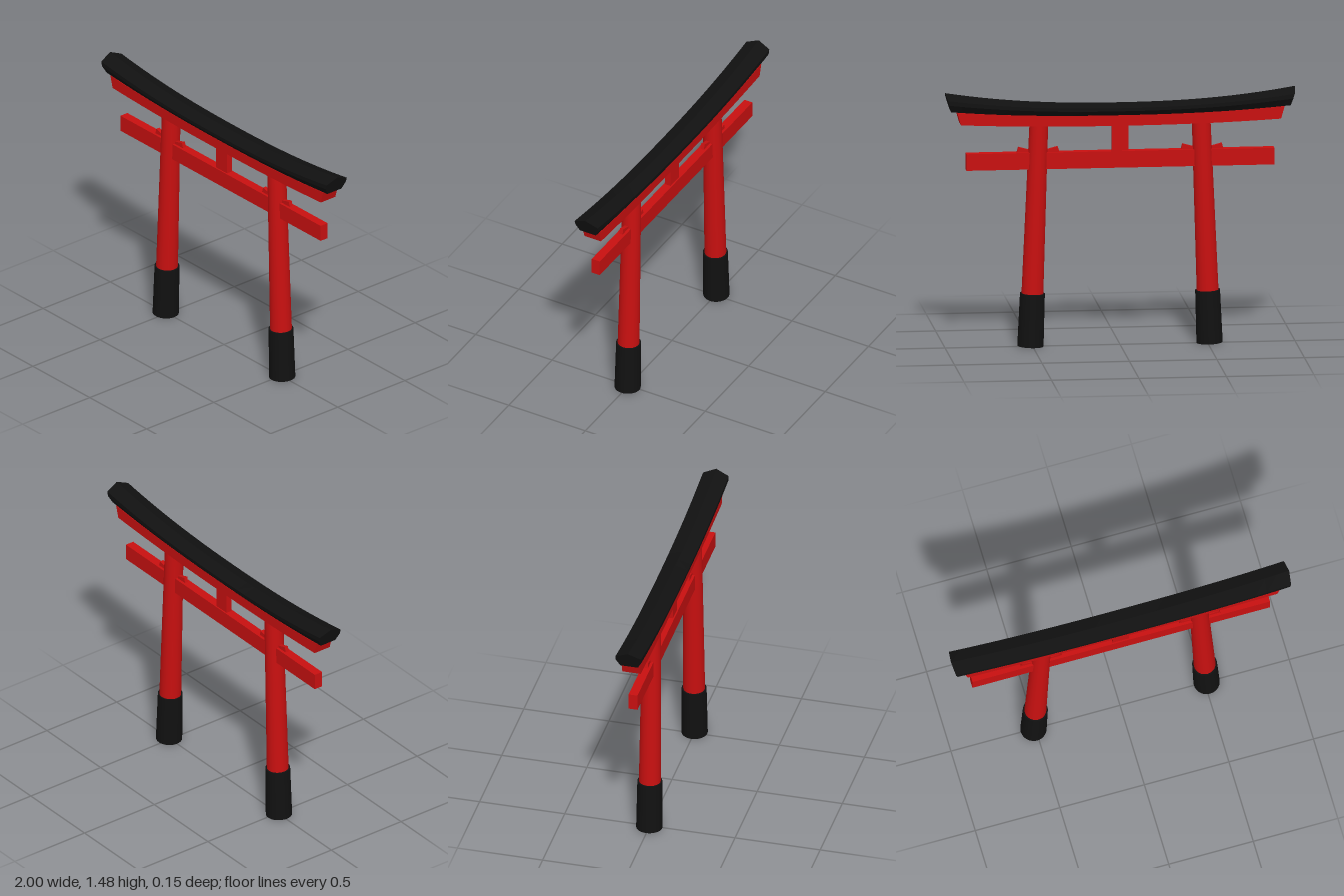
import * as THREE from 'three';

const red = new THREE.MeshStandardMaterial({ color: 0xc81010 });
const black = new THREE.MeshStandardMaterial({ color: 0x111111 });

function add(parent, name, geometry, material) {
  const mesh = new THREE.Mesh(geometry, material);
  mesh.name = name;
  parent.add(mesh);
  return mesh;
}

// Curved beam along x. Section points are [z, height fraction], going round from +y to +z.
// The ends slant: half-length grows from xBottom to xTop.
function curvedBeam(section, xBottom, xTop, bottom, top, segments = 28) {
  const n = section.length, positions = [], index = [];
  for (let i = 0; i <= segments; i++) {
    const t = -1 + 2 * i / segments;
    const bend = Math.pow(Math.abs(t), 2.3);
    for (const [z, f] of section) {
      const low = bottom[0] + (bottom[1] - bottom[0]) * bend;
      const high = top[0] + (top[1] - top[0]) * bend;
      positions.push(t * THREE.MathUtils.lerp(xBottom, xTop, f), THREE.MathUtils.lerp(low, high, f), z);
    }
  }
  for (let i = 0; i < segments; i++) {
    for (let j = 0; j < n; j++) {
      const a = i * n + j, b = i * n + (j + 1) % n;
      index.push(a, b, a + n, b, b + n, a + n);
    }
  }
  const end = segments * n;
  for (let k = 1; k < n - 1; k++) {
    index.push(0, k + 1, k, end, end + k, end + k + 1);
  }
  const indexed = new THREE.BufferGeometry();
  indexed.setAttribute('position', new THREE.Float32BufferAttribute(positions, 3));
  indexed.setIndex(index);
  const geometry = indexed.toNonIndexed();
  geometry.computeVertexNormals();
  return geometry;
}

export function createModel() {
  const model = new THREE.Group();
  model.name = 'gate';

  // Leaning pillars with black foot sleeves
  const lean = Math.atan2(0.05, 1.34);
  for (const side of [1, -1]) {
    const pillar = new THREE.Group();
    pillar.name = side > 0 ? 'leftPillar' : 'rightPillar';
    pillar.position.set(side * 0.512, 0.003, 0);
    pillar.rotation.z = side * lean;
    add(pillar, 'shaft', new THREE.CylinderGeometry(0.053, 0.065, 1.33, 32), red).position.y = 0.675;
    add(pillar, 'footSleeve', new THREE.CylinderGeometry(0.071, 0.075, 0.305, 32), black).position.y = 0.1525;
    model.add(pillar);

    // Tilted wedges on both sides of the pillar
    for (const out of [1, -1]) {
      const wedge = add(model, 'wedge', new THREE.BoxGeometry(0.11, 0.04, 0.022), red);
      wedge.position.set(side * 0.469 + out * 0.065, 1.122, 0);
      wedge.rotation.z = out * 0.27;
    }
  }

  // Straight tie beam and the short strut above it
  add(model, 'tieBeam', new THREE.BoxGeometry(1.76, 0.096, 0.052), red).position.y = 1.077;
  add(model, 'centreStrut', new THREE.BoxGeometry(0.096, 0.19, 0.036), red).position.y = 1.21;

  // Curved red lintel under the curved black cap beam
  const lintelSection = [[-0.054, 1], [0.054, 1], [0.054, 0], [-0.054, 0]];
  add(model, 'lintel', curvedBeam(lintelSection, 0.915, 0.935, [1.277, 1.299], [1.338, 1.37]), red);

  const capSection = [[0, 1], [0.075, 0.69], [0.075, 0.42], [0.052, 0], [-0.052, 0], [-0.075, 0.42], [-0.075, 0.69]];
  add(model, 'capBeam', curvedBeam(capSection, 0.97, 1, [1.337, 1.375], [1.403, 1.477]), black);

  return model;
}
